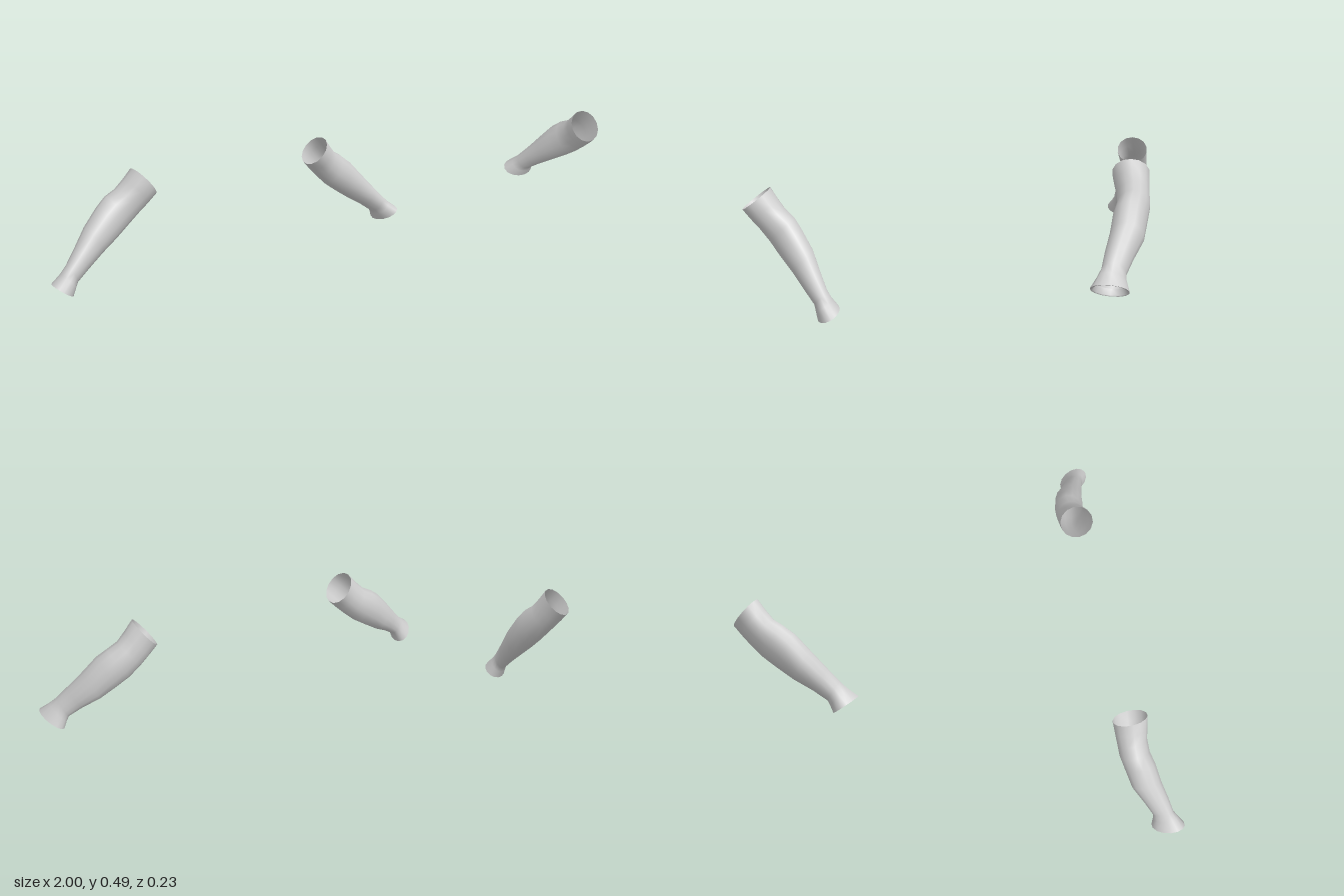
import * as THREE from 'three';

const SIDES = 14;

// Each section: outer edge x, y; inner edge x, y; centre z; half depth in z; twist
const SLEEVE = [
  [0.552, 0.497, 0.452, 0.370, -0.035, 0.080, 0.000],
  [0.592, 0.452, 0.492, 0.330, -0.040, 0.075, 0.000],
  [0.632, 0.413, 0.535, 0.290, -0.046, 0.069, 0.000],
  [0.682, 0.387, 0.595, 0.238, -0.047, 0.069, 0.000],
  [0.730, 0.350, 0.655, 0.196, -0.035, 0.071, 0.003],
  [0.800, 0.275, 0.735, 0.145, -0.022, 0.069, 0.005],
  [0.870, 0.195, 0.815, 0.098, 0.008, 0.057, 0.007],
  [0.920, 0.140, 0.878, 0.055, 0.027, 0.048, 0.009],
  [0.950, 0.110, 0.890, 0.035, 0.033, 0.057, 0.012],
  [0.998, 0.073, 0.907, 0.004, 0.040, 0.076, 0.018],
];

// Lip turned into the cuff opening
const LIP = [
  SLEEVE[SLEEVE.length - 1],
  [0.990, 0.070, 0.909, 0.009, 0.040, 0.067, 0.016],
  [0.968, 0.089, 0.894, 0.031, 0.037, 0.058, 0.013],
];

const material = new THREE.MeshStandardMaterial({ color: 0xcccccc, side: THREE.DoubleSide });

// Open tube lofted through elliptical sections; side = 1 left, -1 right
function loft(name, sections, side) {
  const positions = [];
  const index = [];
  sections.forEach(([ox, oy, ix, iy, cz, depth, twist], row) => {
    const width = Math.hypot(ox - ix, oy - iy) / 2;
    for (let i = 0; i < SIDES; i++) {
      const a = (i / SIDES) * Math.PI * 2;
      const reach = Math.cos(a) + (twist / width) * Math.sin(a);
      positions.push(
        side * ((ox + ix) / 2 + reach * (ox - ix) / 2),
        Math.max(0, (oy + iy) / 2 + reach * (oy - iy) / 2),
        cz + depth * Math.sin(a),
      );
      if (row === sections.length - 1) continue;
      const p = row * SIDES + i;
      const q = row * SIDES + (i + 1) % SIDES;
      const quad = [p, q, p + SIDES, q, q + SIDES, p + SIDES];
      index.push(...(side > 0 ? quad : quad.reverse()));
    }
  });
  const geometry = new THREE.BufferGeometry();
  geometry.setAttribute('position', new THREE.Float32BufferAttribute(positions, 3));
  geometry.setIndex(index);
  geometry.computeVertexNormals();
  const mesh = new THREE.Mesh(geometry, material);
  mesh.name = name;
  return mesh;
}

export function createModel() {
  const model = new THREE.Group();
  model.name = 'sleeves';
  for (const [name, side] of [['left', 1], ['right', -1]]) {
    const arm = new THREE.Group();
    arm.name = `${name}Sleeve`;
    arm.add(loft(`${name}SleeveTube`, SLEEVE, side), loft(`${name}CuffLip`, LIP, side));
    model.add(arm);
  }
  return model;
}
